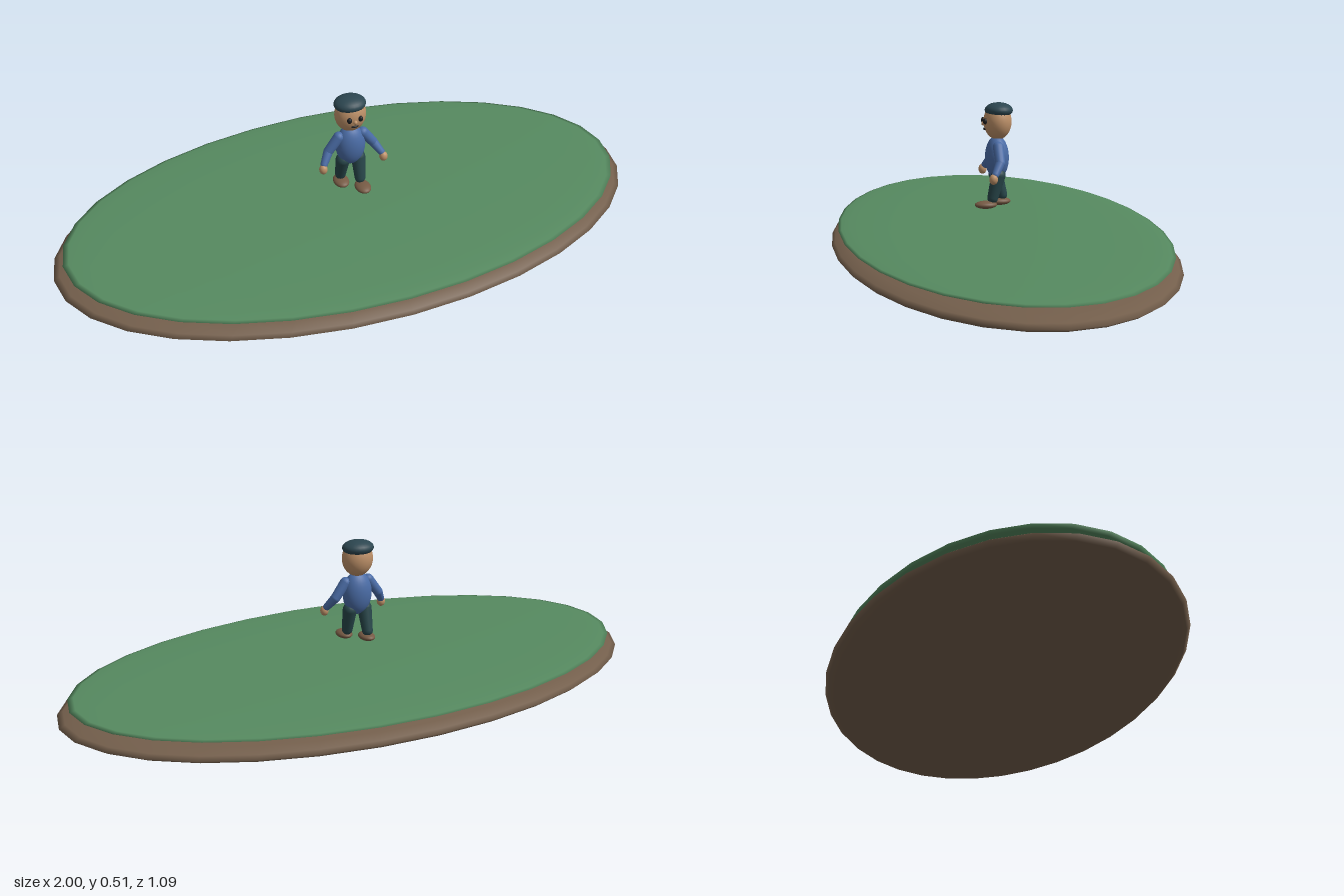
import * as THREE from 'three';

const mat = (name, color) => {
  const m = new THREE.MeshStandardMaterial({ color });
  m.name = name;
  return m;
};

export function createModel() {
  const grass = mat('grass green', 0x568a60);
  const soil = mat('soil brown', 0x745f4c);
  const skin = mat('skin', 0xbd9068);
  const shirt = mat('shirt blue', 0x4a6ca6);
  const trousers = mat('trousers dark teal', 0x28464a);
  const cap = mat('cap slate', 0x2c4650);
  const shoe = mat('shoe brown', 0x765a44);
  const dark = mat('feature black', 0x1c1d20);

  const model = new THREE.Group();
  model.name = 'walkerOnIsland';

  // Ellipsoid from centre and radii
  const blob = (parent, name, material, pos, radii, w = 24, h = 16) => {
    const mesh = new THREE.Mesh(new THREE.SphereGeometry(1, w, h).scale(...radii), material);
    mesh.position.set(...pos);
    mesh.name = name;
    parent.add(mesh);
    return mesh;
  };

  // Tapered round limb between two points
  const up = new THREE.Vector3(0, 1, 0);
  const limb = (parent, name, material, a, b, ra, rb) => {
    const from = new THREE.Vector3(...a), to = new THREE.Vector3(...b);
    const len = from.distanceTo(to);
    const profile = [];
    for (let i = 0; i <= 6; i++) {
      const t = -Math.PI / 2 + (i / 6) * Math.PI / 2;
      profile.push(new THREE.Vector2(ra * Math.cos(t), ra * Math.sin(t)));
    }
    for (let i = 0; i <= 6; i++) {
      const t = (i / 6) * Math.PI / 2;
      profile.push(new THREE.Vector2(rb * Math.cos(t), len + rb * Math.sin(t)));
    }
    const mesh = new THREE.Mesh(new THREE.LatheGeometry(profile, 16), material);
    mesh.position.copy(from);
    mesh.quaternion.setFromUnitVectors(up, to.sub(from).normalize());
    mesh.name = name;
    parent.add(mesh);
  };

  // Island: two stacked flat lenses
  blob(model, 'soilBase', soil, [0, 0.058, 0], [1, 0.056, 0.545], 32, 16);
  blob(model, 'grassTop', grass, [0, 0.105, 0], [0.965, 0.017, 0.523], 32, 16);

  const figure = new THREE.Group();
  figure.name = 'figure';
  model.add(figure);

  // Torso, head and cap
  blob(figure, 'torso', shirt, [0, 0.333, 0.001], [0.05, 0.073, 0.039]);
  blob(figure, 'head', skin, [0, 0.452, -0.001], [0.052, 0.06, 0.046]);
  blob(figure, 'cap', cap, [0, 0.489, -0.005], [0.053, 0.025, 0.046]);
  blob(figure, 'nose', skin, [0, 0.446, 0.046], [0.007, 0.007, 0.007], 12, 8);
  blob(figure, 'mouth', dark, [0, 0.428, 0.042], [0.013, 0.004, 0.004], 12, 8);

  for (const s of [1, -1]) {
    const side = s > 0 ? 'left' : 'right';
    blob(figure, side + 'Eye', dark, [s * 0.019, 0.455, 0.043], [0.008, 0.01, 0.008], 12, 8);

    // Arm hanging outward and slightly forward
    const elbow = [s * 0.078, 0.325, 0.004];
    limb(figure, side + 'UpperArm', shirt, [s * 0.042, 0.373, 0.004], elbow, 0.018, 0.016);
    limb(figure, side + 'Forearm', shirt, elbow, [s * 0.1, 0.292, 0.024], 0.016, 0.012);
    blob(figure, side + 'Hand', skin, [s * 0.105, 0.278, 0.031], [0.014, 0.017, 0.014], 16, 12);

    // Striding leg, left one in front
    const ankleZ = s > 0 ? 0.02 : -0.021;
    limb(figure, side + 'Leg', trousers, [s * 0.027, 0.277, 0.001], [s * 0.027, 0.203, ankleZ], 0.024, 0.018);
    blob(figure, side + 'Shoe', shoe, [s * 0.028, 0.181, ankleZ + (s > 0 ? 0.023 : 0.008)], [0.026, 0.013, 0.037]);
  }
  return model;
}
